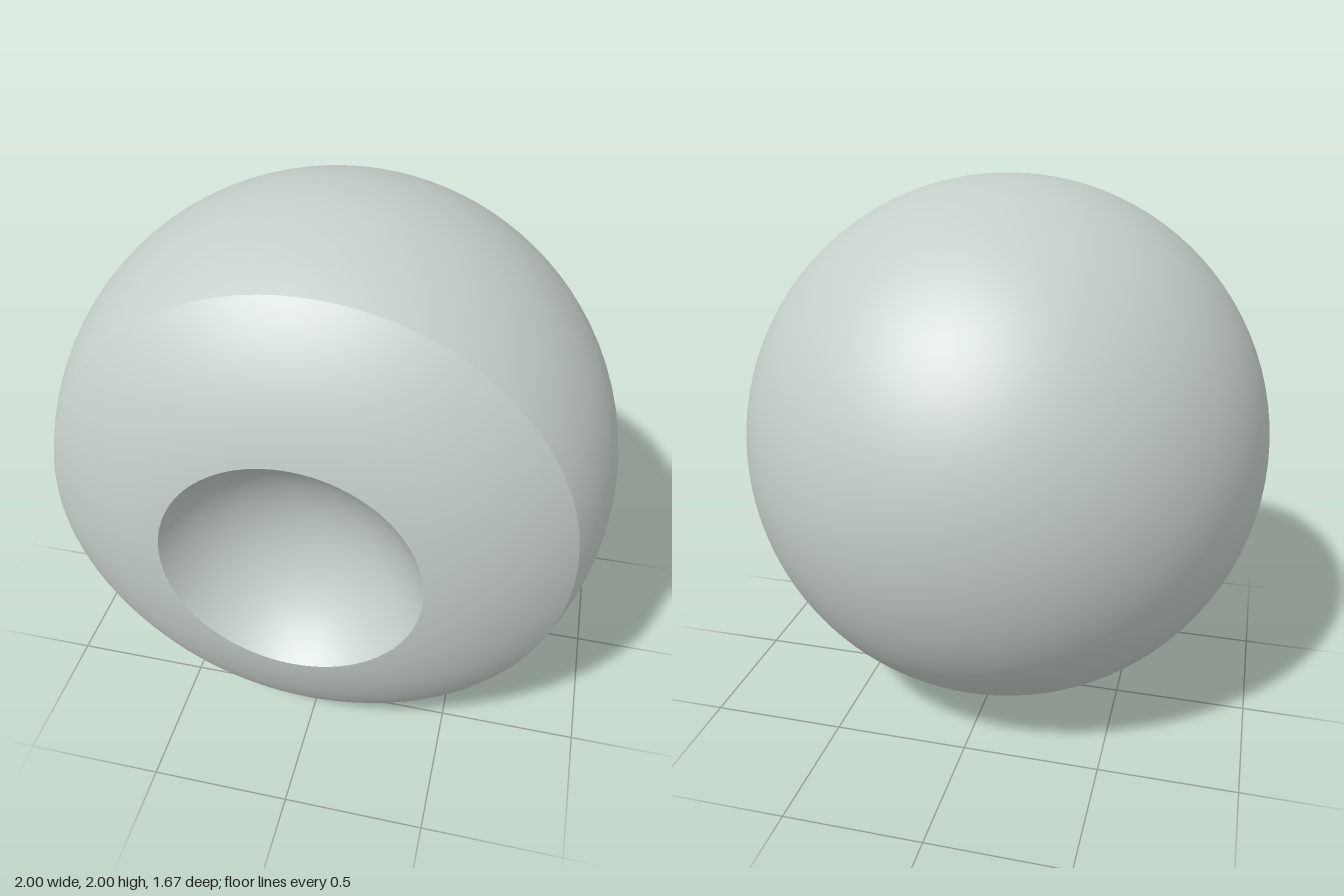
import * as THREE from 'three';

const SEGMENTS = 96;
const rad = THREE.MathUtils.degToRad;

// Points on a circular arc; angles in degrees from the forward axis.
function arc(centreR, centreZ, radius, from, to, steps) {
  const points = [];
  for (let i = 0; i <= steps; i++) {
    const a = rad(from + (to - from) * i / steps);
    points.push(new THREE.Vector2(
      Math.max(0, centreR + radius * Math.sin(a)),
      centreZ + radius * Math.cos(a)
    ));
  }
  return points;
}

// Spin a profile around the forward (z) axis.
function turned(name, points, material) {
  const geometry = new THREE.LatheGeometry(points, SEGMENTS);
  geometry.rotateX(Math.PI / 2);
  const mesh = new THREE.Mesh(geometry, material);
  mesh.name = name;
  mesh.position.y = 1;
  return mesh;
}

export function createModel() {
  const group = new THREE.Group();
  group.name = 'hollowedBall';

  const paleGrey = new THREE.MeshStandardMaterial({ color: 0xc5cec9 });
  paleGrey.name = 'paleGrey';

  // Round body, cut off towards the front
  group.add(turned('body', arc(0, 0.165, 1, 180, 63.1, 56), paleGrey));

  // Flatter rounded face, creased where it meets the body
  group.add(turned('frontFace', arc(0.27, -0.1, 0.95, 41, 10, 20), paleGrey));

  // Smooth bowl sunk into the face
  const rim = 0.435, bowlRadius = 0.53;
  const rimAngle = THREE.MathUtils.radToDeg(Math.asin(rim / bowlRadius));
  const bowlCentre = 0.835 + Math.sqrt(bowlRadius ** 2 - rim ** 2);
  group.add(turned('bowl', arc(0, bowlCentre, bowlRadius, 180 - rimAngle, 180, 28), paleGrey));

  return group;
}
